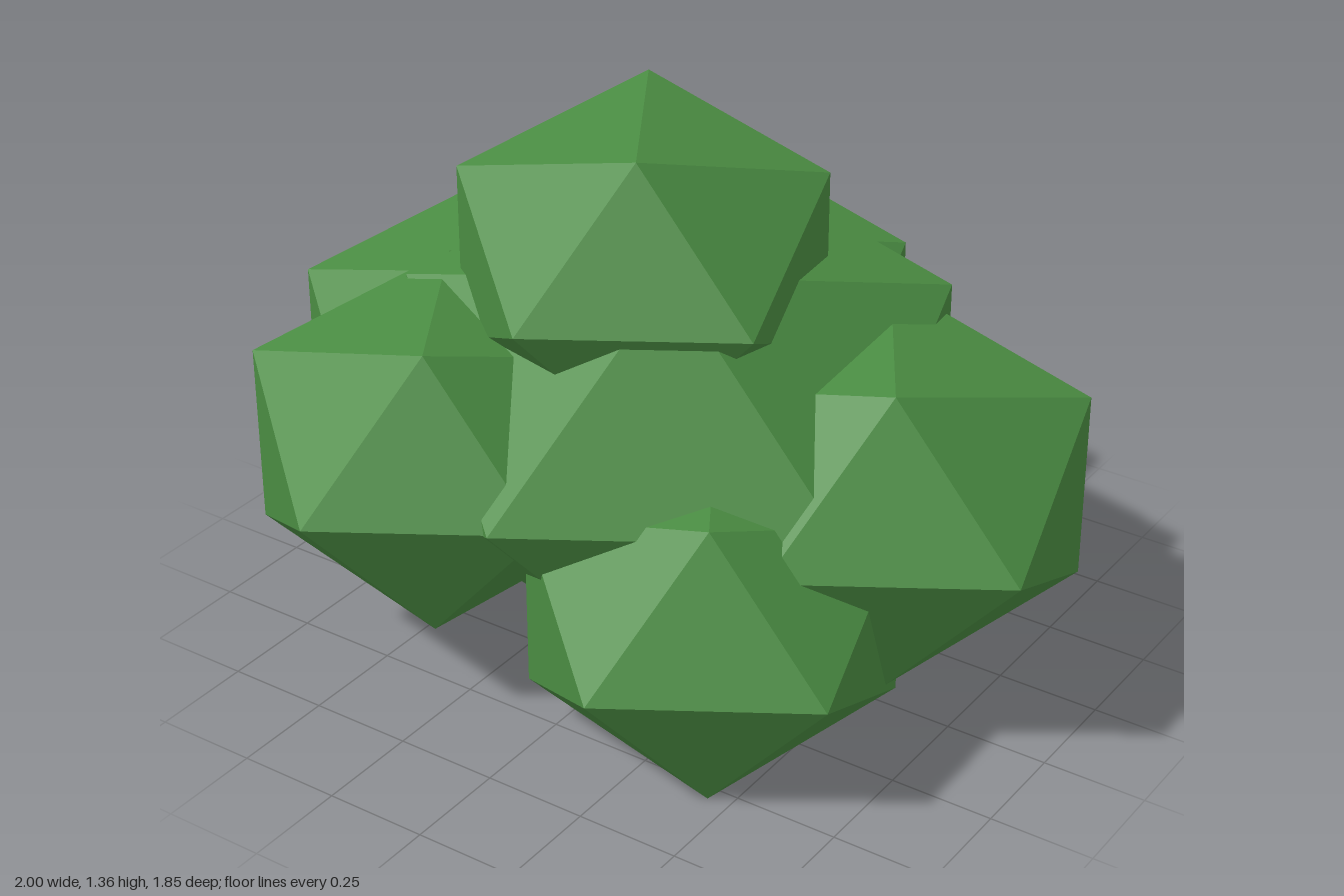
import * as THREE from 'three';

// Low-poly bush: squashed icosahedra clustered around a larger core
const CLUMPS = [
  // name, x, y, z, radius
  ['core', 0, 0.62, 0, 0.73],
  ['topClump', -0.04, 1.02, 0.08, 0.487],
  ['frontRightClump', -0.36, 0.61, 0.427, 0.495],
  ['frontLeftClump', 0.31, 0.346, 0.32, 0.49],
  ['leftClump', 0.53, 0.55, -0.063, 0.522],
  ['rightClump', -0.52, 0.575, 0, 0.535],
  ['backClump', -0.13, 0.615, -0.453, 0.475],
  ['backLeftClump', 0.18, 0.452, -0.39, 0.435],
];
const SQUASH = 0.83;

export function createModel() {
  const bush = new THREE.Group();
  bush.name = 'bush';

  const leaf = new THREE.MeshStandardMaterial({ color: 0x4a8c42, flatShading: true });
  leaf.name = 'leaf green';

  // Turned so that one corner points straight to the front
  const turn = -Math.atan((1 + Math.sqrt(5)) / 2);

  for (const [name, x, y, z, radius] of CLUMPS) {
    const geometry = new THREE.IcosahedronGeometry(radius, 0);
    geometry.rotateY(turn);
    geometry.scale(1, SQUASH, 1);
    geometry.computeVertexNormals();
    const clump = new THREE.Mesh(geometry, leaf);
    clump.name = name;
    clump.position.set(x, y, z);
    bush.add(clump);
  }
  return bush;
}
